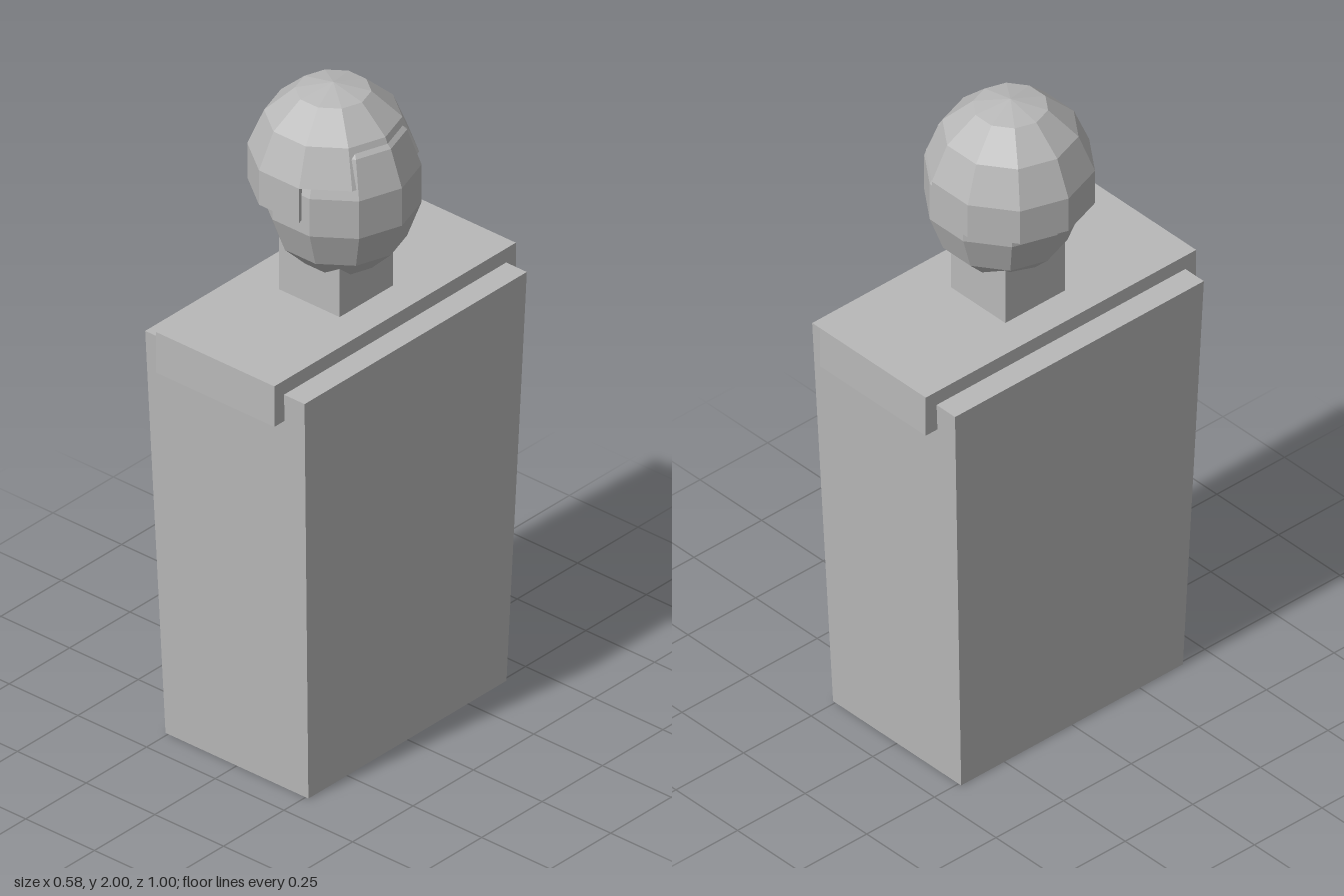
import * as THREE from 'three';

const SIDES = 10;

// Split shared corners so every face is shaded flat
function faceted(geometry) {
  const flat = geometry.index ? geometry.toNonIndexed() : geometry;
  flat.computeVertexNormals();
  return flat;
}

// Ten-sided turned solid with one corner pointing along +x
function turned(profile) {
  const points = profile.map(([r, y]) => new THREE.Vector2(r, y));
  return faceted(new THREE.LatheGeometry(points, SIDES, Math.PI / 2));
}

export function createModel() {
  const model = new THREE.Group();
  model.name = 'bust';
  const grey = new THREE.MeshStandardMaterial({ color: 0xb8b8b8 });
  grey.name = 'grey';

  function add(name, geometry, x, y) {
    const mesh = new THREE.Mesh(geometry, grey);
    mesh.name = name;
    mesh.position.set(x, y, 0);
    model.add(mesh);
  }

  // Torso block, narrowing towards the floor
  const torso = new THREE.BoxGeometry(0.58, 1.3, 0.92);
  const p = torso.attributes.position;
  for (let i = 0; i < p.count; i++) {
    if (p.getY(i) < 0) {
      p.setX(i, Math.sign(p.getX(i)) * 0.26);
      p.setZ(i, Math.sign(p.getZ(i)) * 0.41);
    }
  }
  add('torso', faceted(torso), 0, 0.65);

  // Shoulder slab overhanging both ends, and the neck
  add('shoulders', new THREE.BoxGeometry(0.43, 0.13, 1), 0, 1.28);
  add('neck', new THREE.BoxGeometry(0.22, 0.26, 0.22), 0, 1.46);

  // Head, facing +x
  add('head', turned([
    [0, 1.455], [0.11, 1.46], [0.18, 1.53], [0.22, 1.64],
    [0.22, 1.76], [0.18, 1.87], [0.1, 1.945], [0, 1.955],
  ]), 0.02, 0);

  // Crown of the hair
  add('hairCrown', turned([
    [0, 1.79], [0.236, 1.79], [0.19, 1.9], [0.105, 1.977], [0, 2],
  ]), -0.01, 0);

  // Lower hair band, open around the face
  const band = new THREE.Shape();
  const corner = (r, i) => {
    const a = i * Math.PI * 2 / SIDES;
    return [r * Math.cos(a), r * Math.sin(a)];
  };
  band.moveTo(...corner(0.236, 2));
  for (let i = 3; i <= 8; i++) band.lineTo(...corner(0.236, i));
  for (let i = 8; i >= 2; i--) band.lineTo(...corner(0.19, i));
  band.closePath();
  const hairBand = new THREE.ExtrudeGeometry(band, { depth: 0.11, bevelEnabled: false });
  hairBand.rotateX(-Math.PI / 2);
  add('hairBand', faceted(hairBand), -0.01, 1.68);

  return model;
}
